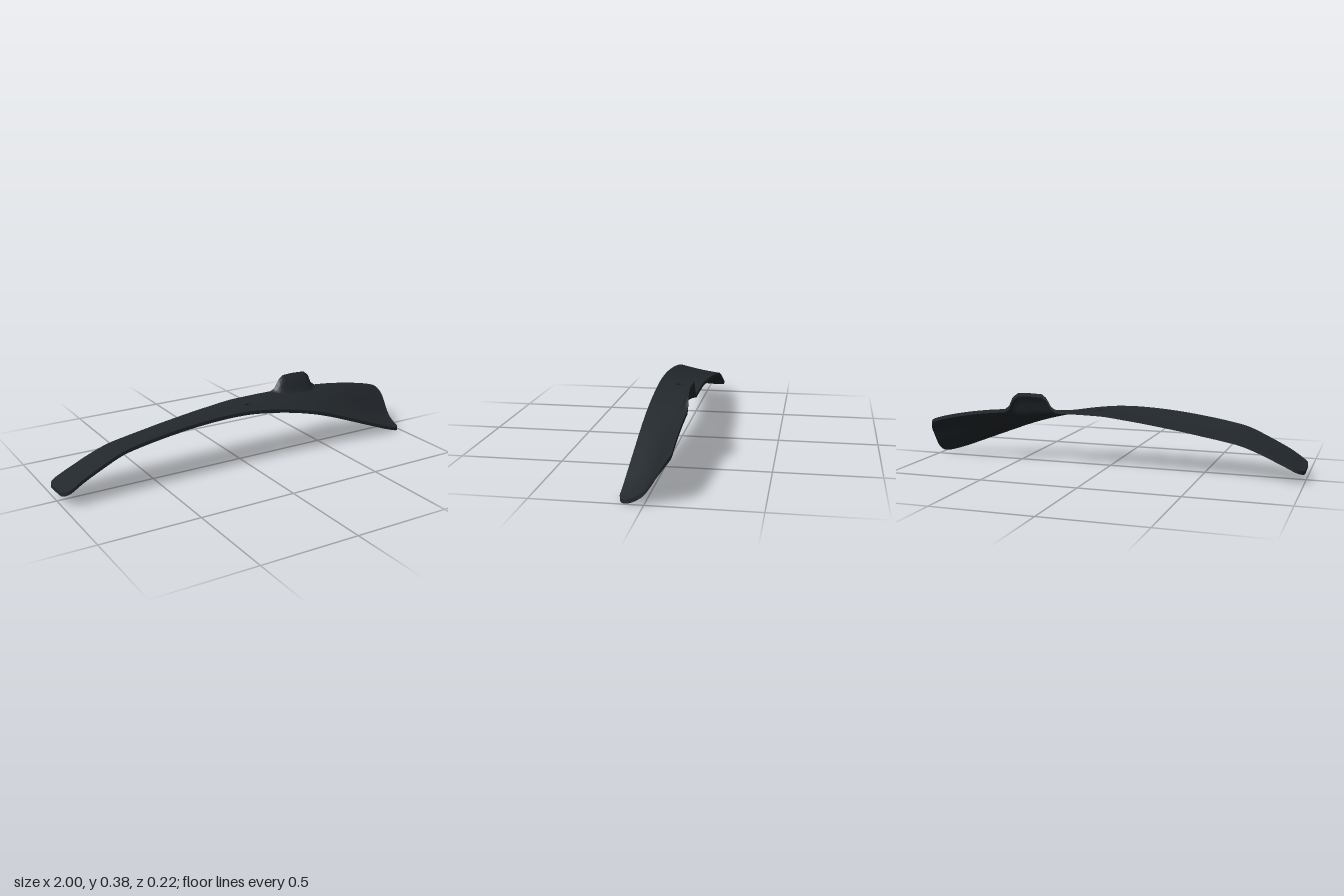
import * as THREE from 'three';
import { toCreasedNormals } from 'three/addons/utils/BufferGeometryUtils.js';

const HALF_W = 0.111, CORNER = 0.05, THICK = 0.018;
const HOLE = { x: 0.053, r: 0.018 };
const LIP = { x: 0.4, halfLength: 0.15, depth: 0.05, height: 0.084 };
const { lerp, clamp, smoothstep } = THREE.MathUtils;

// Smooth function of t in 0..1 through evenly spaced values
function profile(values) {
  const curve = new THREE.SplineCurve(values.map((y, i) => new THREE.Vector2(i, y)));
  return t => curve.getPoint(clamp(t, 0, 1)).y;
}

// Piecewise linear lookup in [position, value] pairs
function lookup(pairs, p) {
  if (p <= pairs[0][0]) return pairs[0][1];
  for (let i = 1; i < pairs.length; i++) {
    const [a, va] = pairs[i - 1], [b, vb] = pairs[i];
    if (p <= b) return va + (vb - va) * (p - a) / (b - a);
  }
  return pairs[pairs.length - 1][1];
}

// Heights of the front and back edges from x = -1 to x = 1
const frontEdge = profile([0.075, 0.131, 0.181, 0.225, 0.248, 0.265, 0.279, 0.29, 0.297, 0.3, 0.297,
  0.286, 0.27, 0.249, 0.223, 0.191, 0.154, 0.116, 0.078, 0.041, 0.014]);
const backEdge = profile([0.06, 0.102, 0.147, 0.184, 0.205, 0.222, 0.239, 0.254, 0.268, 0.28, 0.291,
  0.294, 0.295, 0.294, 0.292, 0.288, 0.281, 0.269, 0.253, 0.232, 0.206]);
// S-shaped cross-section, front to back, which grows towards the right end
const sag = profile([0, 0.02, 0.06, 0.13, 0.24, 0.43, 0.66, 0.85, 1]);
// Raised lip on the back edge: outline along x, and fall-off from the edge inwards
const lipOutline = [[0.26, 0], [0.285, 0.2], [0.31, 0.72], [0.335, 0.95], [0.4, 1], [0.47, 0.99],
  [0.5, 0.72], [0.52, 0.2], [0.545, 0]];
const lipFall = [[0, 1], [0.4, 0.68], [0.8, 0.17], [1, 0]];

function lipRise(x, z) {
  const u = (x - LIP.x) / LIP.halfLength;
  const depth = Math.max(0.012, LIP.depth * Math.sqrt(Math.max(0, 1 - u * u)));
  return LIP.height * lookup(lipOutline, x) * lookup(lipFall, (z + HALF_W) / depth);
}

function surfaceHeight(x, z) {
  const t = (x + 1) / 2, across = (HALF_W - z) / (2 * HALF_W);
  const w = lerp(across, sag(across), smoothstep(x, 0.15, 0.95));
  // The left half is slightly dished
  const dish = 0.004 * (1 - (z / HALF_W) ** 2) * (1 - smoothstep(x, 0, 0.2));
  return lerp(frontEdge(t), backEdge(t), w) + lipRise(x, z) - dish;
}

// Grid lines from a list of [end, segments] spans
function gridLines(start, spans) {
  const out = [start];
  for (const [end, n] of spans) {
    const from = out[out.length - 1];
    for (let i = 1; i <= n; i++) out.push(from + (end - from) * i / n);
  }
  return out;
}

// Half width of the plan outline, with rounded end corners
function halfWidth(x) {
  const d = Math.max(0, CORNER - (1 - Math.abs(x)));
  return HALF_W - CORNER + Math.sqrt(Math.max(0, CORNER * CORNER - d * d));
}

function bladeGeometry() {
  const { x: hx, r } = HOLE;
  const round = [];
  for (let i = 0; i < 8; i++) round.push(1 - CORNER + CORNER * Math.cos(i / 8 * Math.PI / 2));
  const middle = gridLines(-1 + CORNER, [[hx - r, 46], [hx + r, 4], [0.25, 10], [0.55, 48], [1 - CORNER, 20]]);
  const xs = [...round.map(x => -x), ...middle, ...round.reverse()];
  const zs = gridLines(-HALF_W, [[-0.05, 14], [-r, 3], [r, 4], [HALF_W, 8]]);
  const nx = xs.length, nz = zs.length, sheet = nx * nz;

  // Top sheet, then the same points lowered by the thickness
  const pos = [];
  for (const drop of [0, THICK]) {
    for (const gx of xs) for (const gz of zs) {
      let x = gx, z = gz * halfWidth(gx) / HALF_W;
      const dx = gx - hx, m = Math.max(Math.abs(dx), Math.abs(gz));
      if (m < r + 1e-6 && m > 1e-6) {
        // Pull the square opening onto a circle
        const k = m / Math.hypot(dx, gz);
        x = hx + dx * k;
        z = gz * k;
      }
      pos.push(x, surfaceHeight(x, z) - drop, z);
    }
  }

  const isSolid = (i, j) => {
    if (i < 0 || j < 0 || i >= nx - 1 || j >= nz - 1) return false;
    const cx = (xs[i] + xs[i + 1]) / 2 - hx, cz = (zs[j] + zs[j + 1]) / 2;
    return Math.max(Math.abs(cx), Math.abs(cz)) > r;
  };
  const index = [];
  const quad = (a, b, c, d) => index.push(a, b, c, a, c, d);
  for (let i = 0; i < nx - 1; i++) for (let j = 0; j < nz - 1; j++) {
    if (!isSolid(i, j)) continue;
    const a = i * nz + j, b = a + 1, d = a + nz, c = d + 1;
    quad(a, b, c, d);
    quad(d + sheet, c + sheet, b + sheet, a + sheet);
    // Walls wherever the neighbouring cell is empty: outline and hole
    for (const [p, q, ni, nj] of [[a, b, i - 1, j], [b, c, i, j + 1], [c, d, i + 1, j], [d, a, i, j - 1]]) {
      if (!isSolid(ni, nj)) quad(p + sheet, q + sheet, q, p);
    }
  }
  const geo = new THREE.BufferGeometry();
  geo.setAttribute('position', new THREE.Float32BufferAttribute(pos, 3));
  geo.setIndex(index);
  return toCreasedNormals(geo, 0.5);
}

export function createModel() {
  const group = new THREE.Group();
  group.name = 'twistedBlade';
  // Twisted strip with a pin hole and a raised lip on its back edge
  const blade = new THREE.Mesh(bladeGeometry(), new THREE.MeshStandardMaterial({ color: 0x23282c }));
  blade.name = 'bladeWithLip';
  group.add(blade);
  return group;
}
